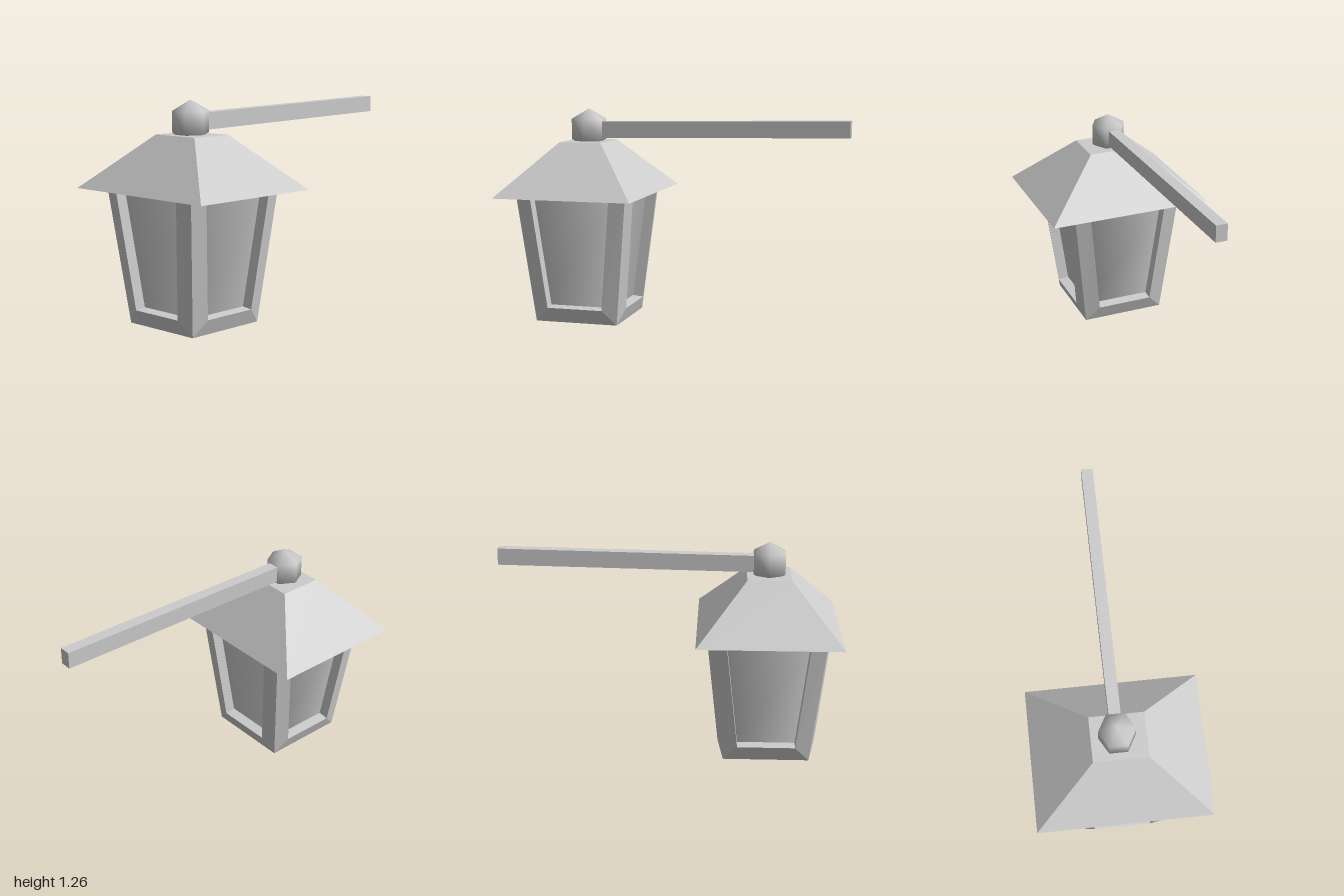
import * as THREE from 'three';

const CENTER_Z = 0.583; // lantern axis
const EAVES = 0.765;    // height where the body meets the roof

const flat = () => new THREE.MeshStandardMaterial({ color: 0xcccccc, flatShading: true, side: THREE.DoubleSide });
const smooth = () => new THREE.MeshStandardMaterial({ color: 0xcccccc });

function add(parent, name, geometry, material) {
  const mesh = new THREE.Mesh(geometry, material);
  mesh.name = name;
  parent.add(mesh);
  return mesh;
}

// Faces from four corners each, counter-clockwise seen from outside
function quads(list) {
  const pos = [];
  for (const [a, b, c, d] of list) pos.push(...a, ...b, ...c, ...a, ...c, ...d);
  const g = new THREE.BufferGeometry();
  g.setAttribute('position', new THREE.Float32BufferAttribute(pos, 3));
  g.computeVertexNormals();
  return g;
}

// Four-sided tapered block given by its half widths at top and bottom
function frustum(top, bottom, height, open) {
  const r = Math.SQRT2;
  return new THREE.CylinderGeometry(top * r, bottom * r, height, 4, 1, open, Math.PI / 4);
}

// One side of the body: sill and two half posts, bevelled outward, with reveals
function frameSide() {
  const faces = [];
  const rim = (s) => ({
    cornerLow: [s * 0.253, 0, 0.253], cornerTop: [s * 0.336, EAVES, 0.336],
    edgeLow: [s * 0.17, 0.09, 0.286], edgeTop: [s * 0.243, EAVES, 0.356],
    backLow: [s * 0.17, 0.097, 0.221], backTop: [s * 0.243, EAVES + 0.007, 0.291],
  });
  const l = rim(-1), r = rim(1);
  // sill and its upper reveal
  faces.push([l.cornerLow, r.cornerLow, r.edgeLow, l.edgeLow]);
  faces.push([l.edgeLow, r.edgeLow, r.backLow, l.backLow]);
  // posts and their inner reveals
  faces.push([l.cornerLow, l.edgeLow, l.edgeTop, l.cornerTop]);
  faces.push([l.edgeLow, l.backLow, l.backTop, l.edgeTop]);
  faces.push([r.edgeLow, r.cornerLow, r.cornerTop, r.edgeTop]);
  faces.push([r.backLow, r.edgeLow, r.edgeTop, r.backTop]);
  return quads(faces);
}

export function createModel() {
  const model = new THREE.Group();
  model.name = 'lantern';

  const body = new THREE.Group();
  body.name = 'body';
  body.position.set(0.003, 0, CENTER_Z - 0.002);
  model.add(body);

  // frame on all four sides
  const side = frameSide();
  for (let i = 0; i < 4; i++) {
    add(body, 'frameSide' + (i + 1), side, flat()).rotation.y = i * Math.PI / 2;
  }

  // underside of the body
  const base = add(body, 'basePlate', new THREE.PlaneGeometry(0.506, 0.506), flat());
  base.rotation.x = Math.PI / 2;

  // recessed glass, softly shaded around the corners
  const glassHeight = EAVES - 0.095;
  const glass = add(body, 'glass', frustum(0.29, 0.22, glassHeight, true), smooth());
  glass.position.y = 0.095 + glassHeight / 2;

  // hipped roof with a flat top
  const roof = add(model, 'roof', frustum(0.155, 0.5, 0.305, false).scale(1, 1, 0.834), flat());
  roof.position.set(0, EAVES + 0.1525, CENTER_Z);

  // finial ball
  const ball = add(model, 'finial', new THREE.SphereGeometry(0.1225, 6, 3).scale(0.97, 1, 1), smooth());
  ball.position.set(-0.01, 1.1425, CENTER_Z);

  // bracket arm, rising slightly toward the back
  const arm = new THREE.BoxGeometry(0.067, 0.097, 1.55);
  const p = arm.attributes.position;
  for (let i = 0; i < p.count; i++) p.setY(i, p.getY(i) - 0.018 * p.getZ(i));
  add(model, 'arm', arm, flat()).position.set(-0.013, 1.153, -0.225);

  return model;
}
